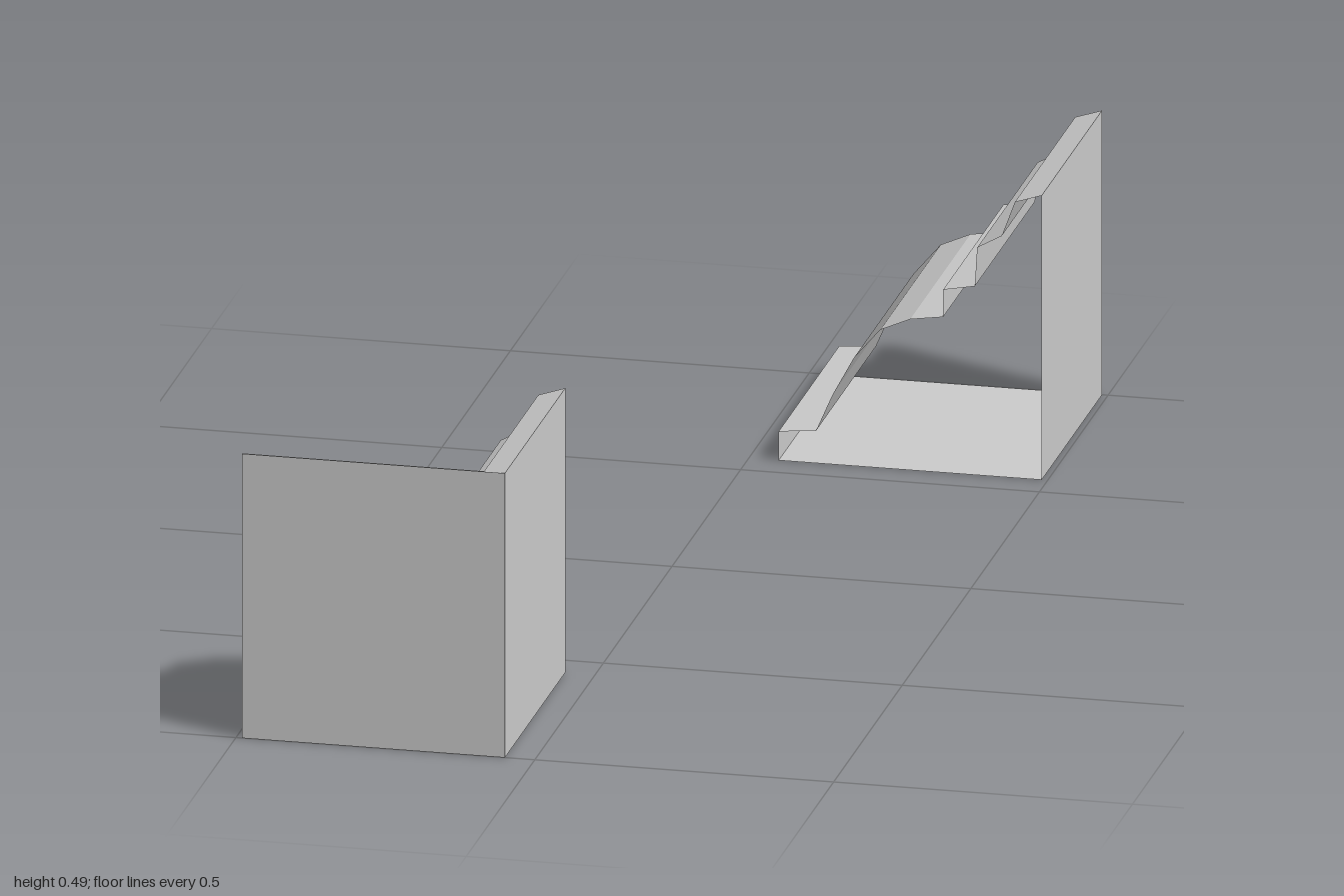
import * as THREE from 'three';

// Moulding cross-section: [distance from the wall, height], a closed loop
const PROFILE = [
  [0, 0], [0, 0.49],                                        // wall
  [0.045, 0.475], [0.067, 0.415],                           // top bead
  [0.108, 0.392], [0.112, 0.325],                           // upper step
  [0.165, 0.315], [0.165, 0.268],                           // lower step
  [0.22, 0.26], [0.27, 0.238], [0.315, 0.185], [0.35, 0.12], [0.378, 0.055], // large curve
  [0.44, 0.05], [0.44, 0], [0, 0],                          // lip and floor
];
const SIZE = 0.44;

// Open-ended run along local z from 0 to SIZE, wall at local x = 0.
// A mitred run stops at 45 degrees at its far end.
function runGeometry(mitred, swapped) {
  const pos = [];
  const point = ([d, y], far) => {
    const s = far ? SIZE - (mitred ? d : 0) : 0;
    return swapped ? [s - SIZE, y, SIZE - d] : [-d, y, s];
  };
  for (let i = 0; i < PROFILE.length - 1; i++) {
    const a = PROFILE[i], b = PROFILE[i + 1];
    const quad = [point(a, true), point(a, false), point(b, false), point(b, true)];
    if (swapped) quad.reverse();
    for (const k of [0, 1, 2, 0, 2, 3]) pos.push(...quad[k]);
  }
  const geo = new THREE.BufferGeometry();
  geo.setAttribute('position', new THREE.Float32BufferAttribute(pos, 3));
  geo.computeVertexNormals();
  return geo;
}

export function createModel() {
  const model = new THREE.Group();
  model.name = 'mouldings';
  const material = new THREE.MeshStandardMaterial({
    color: 0xcccccc, flatShading: true, side: THREE.DoubleSide,
  });
  const add = (parent, name, geometry) => {
    const mesh = new THREE.Mesh(geometry, material);
    mesh.name = name;
    parent.add(mesh);
    return mesh;
  };

  // Straight piece, wall towards +x
  add(model, 'straightMoulding', runGeometry(false, false)).position.set(0.49, 0, -1);

  // Inside corner piece made of two mitred runs
  const corner = new THREE.Group();
  corner.name = 'cornerMoulding';
  add(corner, 'cornerSideRun', runGeometry(true, false));
  add(corner, 'cornerFrontRun', runGeometry(true, true));
  corner.position.set(-0.05, 0, 0.56);
  model.add(corner);

  return model;
}
